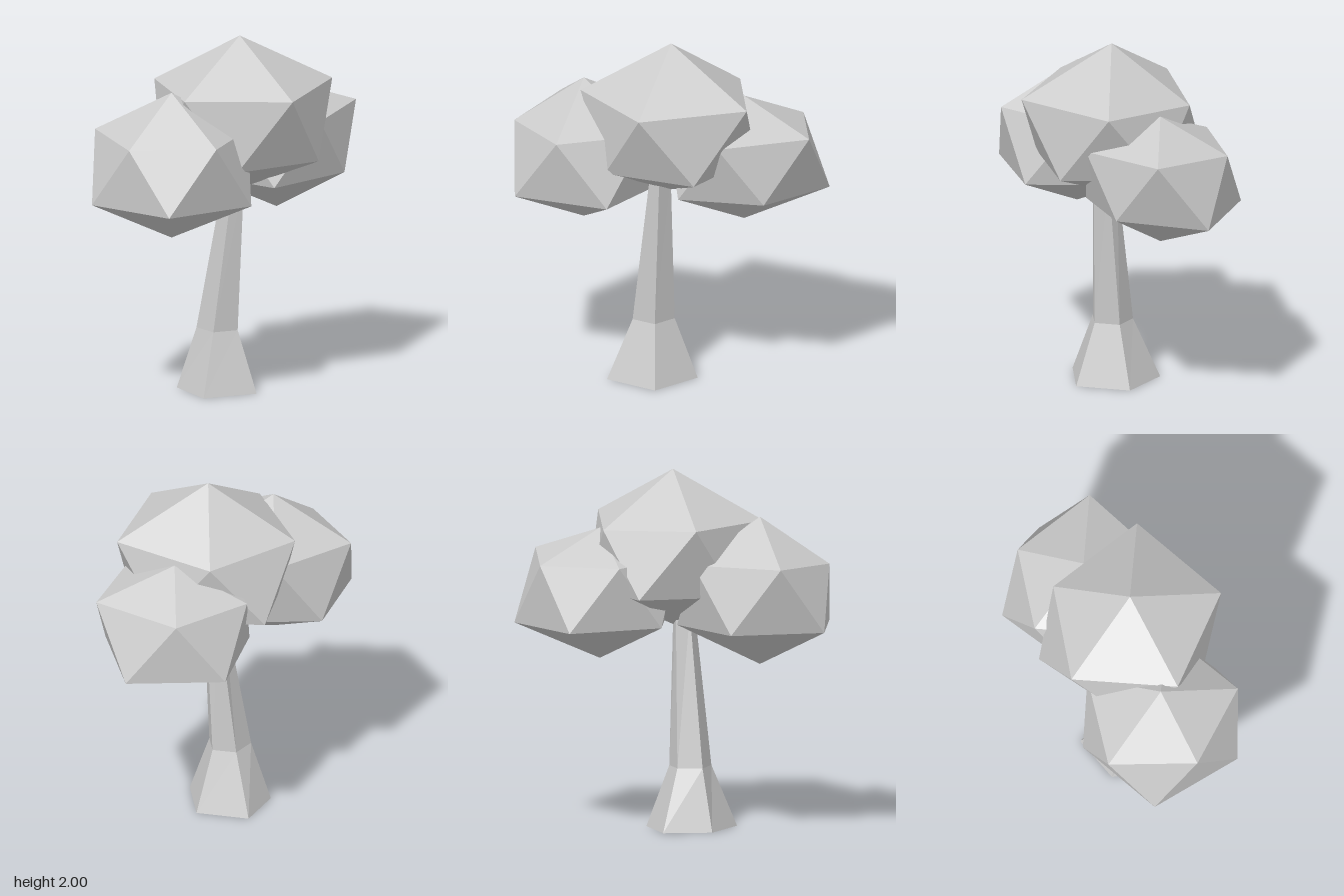
import * as THREE from 'three';

const material = new THREE.MeshStandardMaterial({ color: 0xcccccc, flatShading: true });
const SIDES = 5;

// Flat-shaded mesh from a list of triangles (each three Vector3 corners).
function facetedMesh(name, triangles) {
  const geometry = new THREE.BufferGeometry().setFromPoints(triangles.flat());
  geometry.computeVertexNormals();
  const mesh = new THREE.Mesh(geometry, material);
  mesh.name = name;
  return mesh;
}

// Fan between a ring and a single point above or below it.
function fan(ring, tip, upward) {
  return ring.map((p, i) => {
    const q = ring[(i + 1) % SIDES];
    return upward ? [p, tip, q] : [p, q, tip];
  });
}

// Leaf clump: a flattened icosahedron standing on its pole.
// Each ring entry is [radius, height]; the lower ring is turned by half a step.
function leafClump(name, { x, z, top, bottom, upper, lower }) {
  const ring = (entries, turn) => entries.map(([r, y], i) => {
    const a = ((i + turn) / SIDES) * Math.PI * 2;
    return new THREE.Vector3(x + r * Math.cos(a), y, z + r * Math.sin(a));
  });
  const up = ring(upper, 0);
  const low = ring(lower, 0.5);
  const triangles = [
    ...fan(up, new THREE.Vector3(x, top, z), true),
    ...fan(low, new THREE.Vector3(x, bottom, z), false),
  ];
  for (let i = 0; i < SIDES; i++) {
    const j = (i + 1) % SIDES;
    triangles.push([low[i], up[i], up[j]], [low[i], up[j], low[j]]);
  }
  return facetedMesh(name, triangles);
}

// Leaning five-sided trunk skinned through cross-sections of [x, z] corners.
function trunk() {
  const sections = [
    [0, [[0.115, 0.23], [-0.2, 0.26], [-0.267, -0.04], [-0.07, -0.23], [0.18, -0.07]]],
    [0.345, [[0.035, 0.13], [-0.11, 0.145], [-0.165, 0], [-0.05, -0.08], [0.065, -0.01]]],
    [1.2, [[0.07, 0.135], [0.005, 0.14], [-0.025, 0.06], [0.03, 0.005], [0.085, 0.05]]],
  ];
  const rings = sections.map(([y, pts]) => pts.map(([x, z]) => new THREE.Vector3(x, y, z)));
  const center = (ring) => ring
    .reduce((sum, p) => sum.add(p), new THREE.Vector3())
    .divideScalar(SIDES);

  const triangles = [
    ...fan(rings[0], center(rings[0]), false),
    ...fan(rings[2], center(rings[2]), true),
  ];
  for (let k = 0; k < rings.length - 1; k++) {
    for (let i = 0; i < SIDES; i++) {
      const j = (i + 1) % SIDES;
      const [a, b, c, d] = [rings[k][i], rings[k][j], rings[k + 1][j], rings[k + 1][i]];
      triangles.push([a, d, b], [b, d, c]);
    }
  }
  return facetedMesh('trunk', triangles);
}

export function createModel() {
  const tree = new THREE.Group();
  tree.name = 'tree';
  tree.add(
    trunk(),
    leafClump('topLeafClump', {
      x: 0.075, z: 0.035, top: 2, bottom: 1.13,
      upper: [[0.535, 1.725], [0.52, 1.72], [0.503, 1.715], [0.503, 1.715], [0.46, 1.69]],
      lower: [[0.465, 1.32], [0.44, 1.32], [0.45, 1.32], [0.52, 1.33], [0.47, 1.33]],
    }),
    leafClump('frontRightLeafClump', {
      x: -0.38, z: 0.24, top: 1.75, bottom: 0.925,
      upper: [[0.44, 1.51], [0.44, 1.51], [0.386, 1.49], [0.45, 1.51], [0.44, 1.51]],
      lower: [[0.47, 1.14], [0.46, 1.14], [0.46, 1.14], [0.445, 1.14], [0.46, 1.14]],
    }),
    leafClump('backLeftLeafClump', {
      x: 0.37, z: -0.245, top: 1.675, bottom: 0.945,
      upper: [[0.46, 1.525], [0.43, 1.51], [0.43, 1.51], [0.42, 1.5], [0.395, 1.49]],
      lower: [[0.4, 1.17], [0.44, 1.15], [0.44, 1.15], [0.465, 1.14], [0.475, 1.14]],
    }),
  );
  return tree;
}
